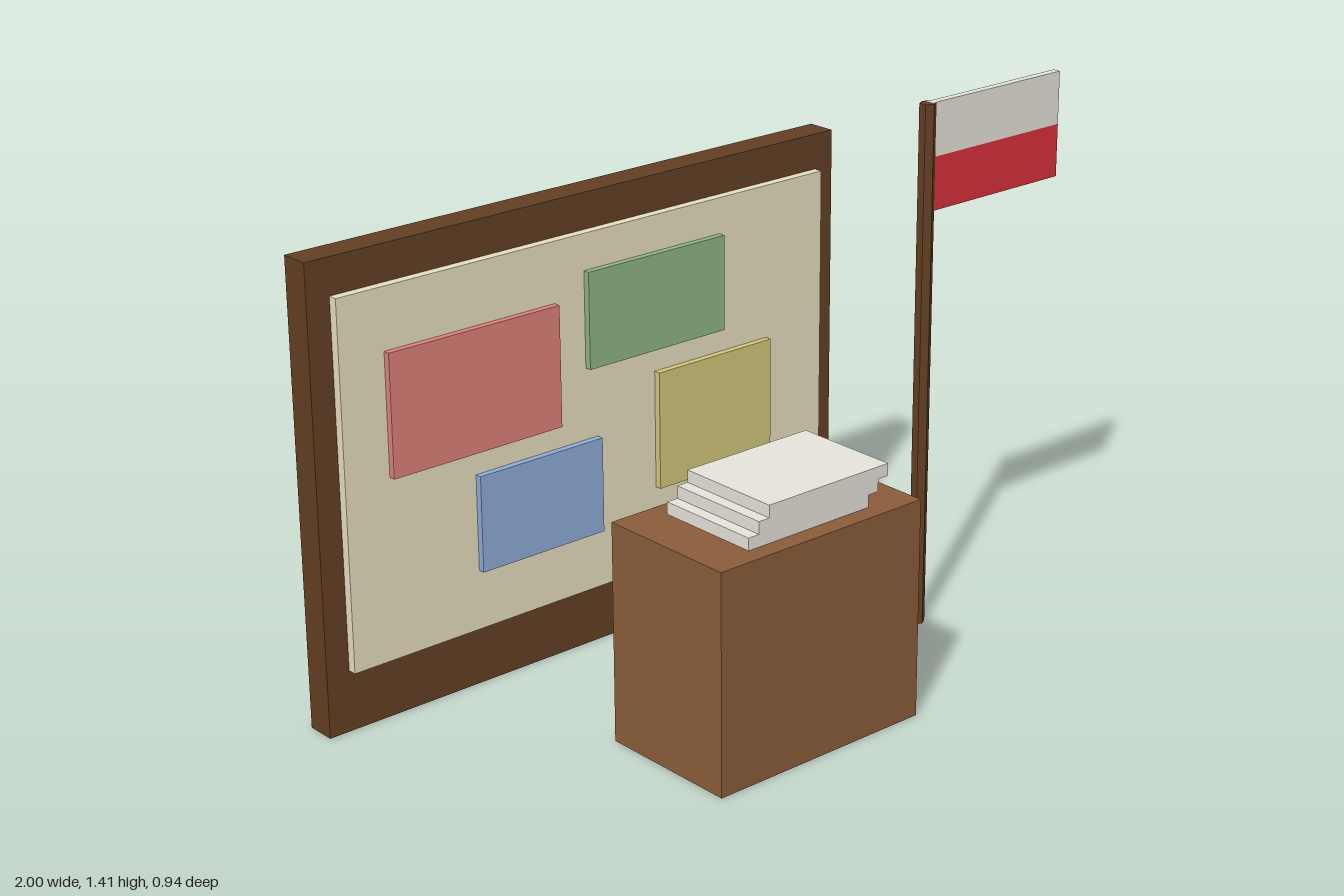
import * as THREE from 'three';

export function createModel() {
  const model = new THREE.Group();
  model.name = 'noticeBoardScene';

  const mat = (name, color) => {
    const m = new THREE.MeshStandardMaterial({ color });
    m.name = name;
    return m;
  };
  const darkWood = mat('dark wood', 0x633f23);
  const wood = mat('wood', 0x8a5d3a);
  const cream = mat('cream', 0xeae1c2);
  const white = mat('white', 0xebe7de);
  const flagRed = mat('flag red', 0xd8313b);
  const noteRed = mat('note red', 0xde8179);
  const noteGreen = mat('note green', 0x8fb583);
  const noteBlue = mat('note blue', 0x8dacd8);
  const noteYellow = mat('note yellow', 0xd1c779);

  // Box given by its extents on each axis
  const box = (name, material, [x0, x1], [y0, y1], [z0, z1], parent = model) => {
    const mesh = new THREE.Mesh(new THREE.BoxGeometry(x1 - x0, y1 - y0, z1 - z0), material);
    mesh.position.set((x0 + x1) / 2, (y0 + y1) / 2, (z0 + z1) / 2);
    mesh.name = name;
    parent.add(mesh);
  };
  const group = (name) => {
    const g = new THREE.Group();
    g.name = name;
    model.add(g);
    return g;
  };

  // Notice board with pinned sheets
  const board = group('noticeBoard');
  box('boardBacking', darkWood, [-1, 0.657], [0, 1.215], [-0.469, -0.39], board);
  box('boardPanel', cream, [-0.935, 0.598], [0.162, 1.12], [-0.39, -0.366], board);
  const noteDepth = [-0.366, -0.348];
  box('redNote', noteRed, [-0.807, -0.296], [0.64, 0.96], noteDepth, board);
  box('greenNote', noteGreen, [-0.203, 0.243], [0.768, 1.024], noteDepth, board);
  box('blueNote', noteBlue, [-0.553, -0.168], [0.321, 0.577], noteDepth, board);
  box('yellowNote', noteYellow, [0.021, 0.404], [0.385, 0.704], noteDepth, board);

  // Desk with a fanned stack of papers
  box('desk', wood, [-0.492, 0.147], [0, 0.577], [0.08, 0.469]);
  const stack = group('paperStack');
  for (let i = 0; i < 3; i++) {
    const x = -0.364 + i * 0.032, y = 0.577 + i * 0.032;
    box('paperLayer', white, [x, x + 0.383], [y, y + 0.032], [0.132, 0.42], stack);
  }

  // Hexagonal flagpole with a two-band flag
  const flag = group('flag');
  const pole = new THREE.Mesh(new THREE.CylinderGeometry(0.022, 0.022, 1.408, 6), darkWood);
  pole.geometry = pole.geometry.toNonIndexed();
  pole.geometry.computeVertexNormals();
  pole.position.set(0.532, 0.704, 0.084);
  pole.name = 'flagPole';
  flag.add(pole);
  box('upperBand', white, [0.54, 1], [1.268, 1.408], [0.073, 0.094], flag);
  box('lowerBand', flagRed, [0.54, 1], [1.128, 1.268], [0.073, 0.094], flag);

  return model;
}
